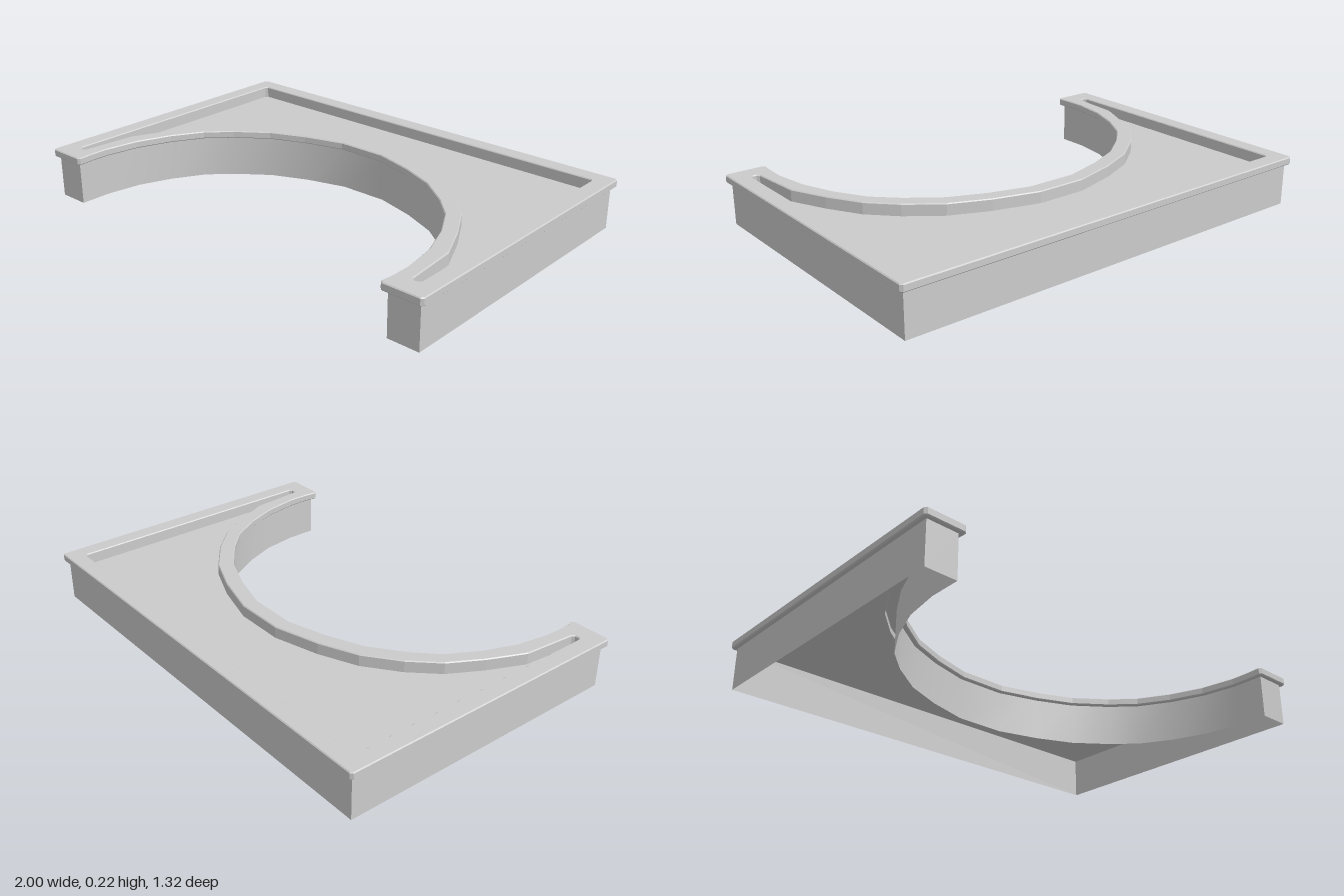
import * as THREE from 'three';
import { toCreasedNormals } from 'three/addons/utils/BufferGeometryUtils.js';

const RIM_BOTTOM = 0.185, RIM_TOP = 0.218, FLOOR = 0.167;

// Half outlines as [x, z], from the middle of the arch round to the back corner
const RIM_EDGE = [[0.11, -0.23], [0.285, -0.18], [0.44, -0.115], [0.575, -0.015], [0.67, 0.08],
  [0.745, 0.21], [0.8, 0.355], [0.825, 0.505], [0.825, 0.585], [0.82, 0.65], [0.83, 0.66],
  [0.99, 0.66], [1, 0.65], [1, -0.65], [0.99, -0.66]];
const RECESS = [[0.11, -0.3], [0.31, -0.245], [0.475, -0.175], [0.615, -0.07], [0.72, 0.04],
  [0.8, 0.18], [0.87, 0.335], [0.89, 0.565], [0.9, 0.575], [0.915, 0.575], [0.925, 0.565],
  [0.925, -0.575], [0.915, -0.585]];
const SKIRT = [[0.11, -0.25], [0.29, -0.2], [0.45, -0.132], [0.588, -0.03], [0.686, 0.068],
  [0.763, 0.202], [0.819, 0.35], [0.843, 0.505], [0.843, 0.64], [0.98, 0.64], [0.98, -0.64]];

// Closes a half outline with its mirror image
const mirrored = (half) => [...half, ...half.map(([x, z]) => [-x, z]).reverse()];
const toPoints = (outline) => outline.map(([x, z]) => new THREE.Vector2(x, -z));

// Thin upright wall along a closed outline
function wallGeometry(outline, y0, y1) {
  const pos = [];
  outline.forEach(([ax, az], i) => {
    const [bx, bz] = outline[(i + 1) % outline.length];
    pos.push(ax, y0, az, bx, y0, bz, bx, y1, bz, ax, y0, az, bx, y1, bz, ax, y1, az);
  });
  const g = new THREE.BufferGeometry();
  g.setAttribute('position', new THREE.Float32BufferAttribute(pos, 3));
  g.computeVertexNormals();
  return g;
}

export function createModel() {
  const group = new THREE.Group();
  const material = new THREE.MeshStandardMaterial({ color: 0xcccccc, side: THREE.DoubleSide });
  const add = (name, geometry) => {
    const mesh = new THREE.Mesh(geometry, material);
    mesh.name = name;
    group.add(mesh);
  };

  const rimEdge = mirrored(RIM_EDGE), recess = mirrored(RECESS), skirt = mirrored(SKIRT);

  // Skirt, open underneath, with a smooth arch
  add('skirt', toCreasedNormals(wallGeometry(skirt, 0, RIM_BOTTOM), Math.PI / 5));

  // Overhanging rim with softened edges
  const shape = new THREE.Shape(toPoints(rimEdge));
  shape.holes.push(new THREE.Path(toPoints(recess)));
  const bevel = 0.004;
  const rim = new THREE.ExtrudeGeometry(shape, {
    depth: RIM_TOP - RIM_BOTTOM - 2 * bevel,
    bevelThickness: bevel, bevelSize: bevel, bevelOffset: -bevel, bevelSegments: 1,
  });
  rim.rotateX(-Math.PI / 2).translate(0, RIM_BOTTOM + bevel, 0);
  add('rim', rim);

  // Sunken tray: lip below the rim and flat floor
  add('trayLip', wallGeometry([...recess].reverse(), FLOOR, RIM_BOTTOM + bevel));
  const floor = new THREE.ShapeGeometry(new THREE.Shape(toPoints(recess)));
  floor.rotateX(-Math.PI / 2).translate(0, FLOOR, 0);
  add('trayFloor', floor);

  return group;
}
